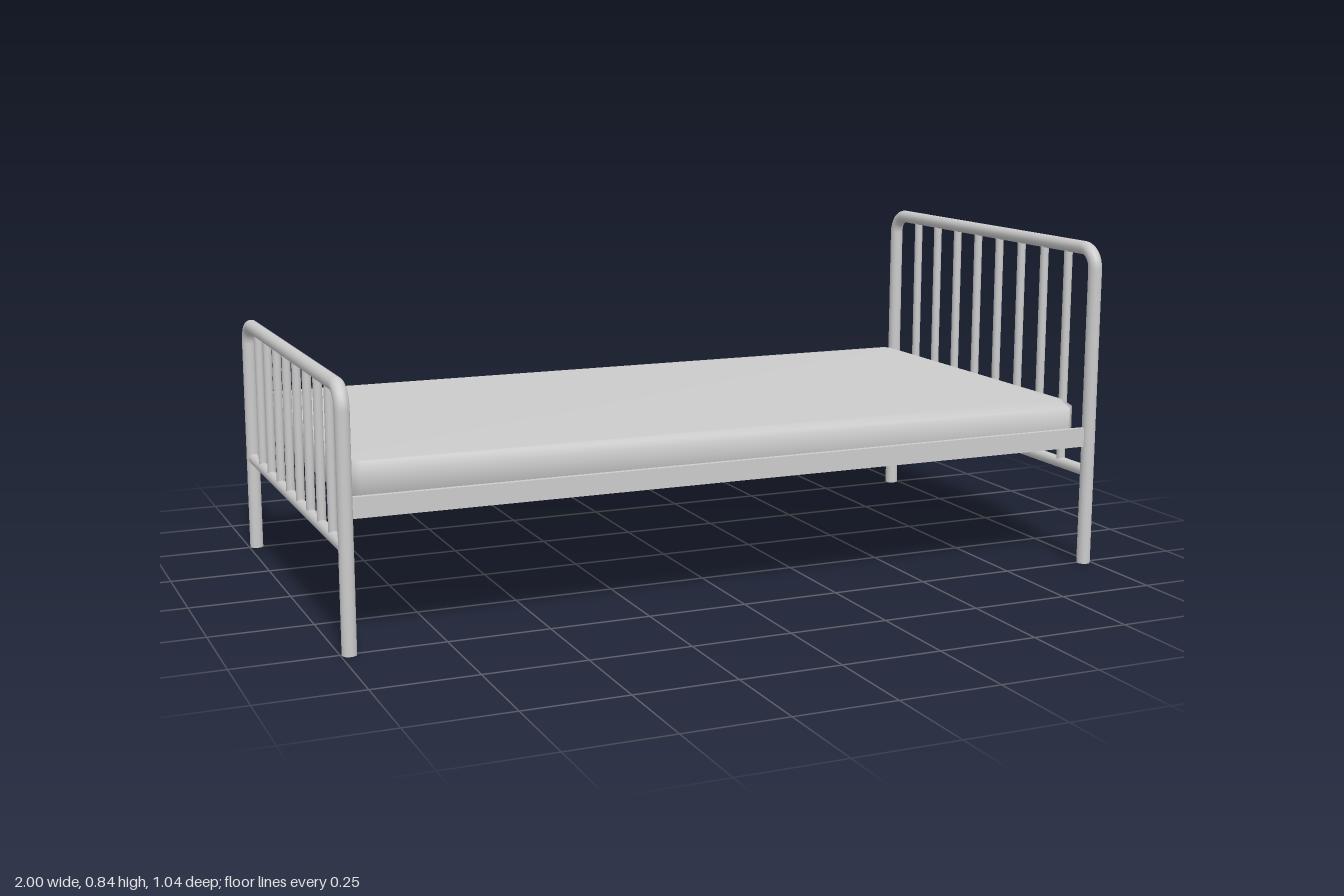
import * as THREE from 'three';
import { mergeVertices } from 'three/addons/utils/BufferGeometryUtils.js';

const material = new THREE.MeshStandardMaterial({ color: 0xcccccc });

function add(parent, name, geometry, x = 0, y = 0, z = 0) {
  const mesh = new THREE.Mesh(geometry, material);
  mesh.name = name;
  mesh.position.set(x, y, z);
  parent.add(mesh);
  return mesh;
}

// Tubular bed end, drawn across x and turned so that it spans z
function bedEnd(name, height) {
  const group = new THREE.Group();
  group.name = name;
  const r = 0.0175, halfWidth = 0.505, bend = 0.05, railY = 0.245;
  const topY = height - r;
  const legHeight = topY - bend;

  for (const side of [1, -1]) {
    add(group, 'leg', new THREE.CylinderGeometry(r, r, legHeight, 16), side * halfWidth, legHeight / 2);
    const corner = add(group, 'bentCorner', new THREE.TorusGeometry(bend, r, 16, 8, Math.PI / 2),
      side * (halfWidth - bend), legHeight);
    if (side < 0) corner.rotation.z = Math.PI / 2;
  }
  const top = add(group, 'topRail', new THREE.CylinderGeometry(r, r, 2 * (halfWidth - bend), 16), 0, topY);
  top.rotation.z = Math.PI / 2;
  const lower = add(group, 'lowerRail', new THREE.CylinderGeometry(0.0145, 0.0145, 2 * halfWidth, 16), 0, railY);
  lower.rotation.z = Math.PI / 2;

  // Upright bars between the rails
  for (let i = 0; i < 8; i++) {
    add(group, 'bar', new THREE.CylinderGeometry(0.011, 0.011, topY - railY, 12),
      0.386 - i * 0.1088, (topY + railY) / 2);
  }
  group.rotation.y = -Math.PI / 2;
  return group;
}

// Block with cut corners and one soft bevel, smooth shaded
function mattressGeometry(length, width, height) {
  const bevel = 0.026, rise = 0.018, cut = 0.014;
  const a = length / 2 - bevel, b = width / 2 - bevel;
  const outline = new THREE.Shape([
    [a - cut, -b], [a, -b + cut], [a, b - cut], [a - cut, b],
    [-a + cut, b], [-a, b - cut], [-a, -b + cut], [-a + cut, -b],
  ].map(([x, y]) => new THREE.Vector2(x, y)));
  let geometry = new THREE.ExtrudeGeometry(outline, {
    depth: height - 2 * rise, bevelEnabled: true, bevelSegments: 1,
    bevelSize: bevel, bevelThickness: rise,
  });
  geometry.translate(0, 0, rise).rotateX(-Math.PI / 2);
  geometry.deleteAttribute('normal');
  geometry.deleteAttribute('uv');
  geometry = mergeVertices(geometry, 1e-4);
  geometry.computeVertexNormals();
  return geometry;
}

export function createModel() {
  const bed = new THREE.Group();
  bed.name = 'bed';

  const head = bedEnd('headboard', 0.84);
  head.position.x = 0.98;
  const foot = bedEnd('footboard', 0.625);
  foot.position.x = -0.98;
  bed.add(head, foot);

  // Flat side rails
  for (const side of [1, -1]) {
    add(bed, 'sideRail', new THREE.BoxGeometry(1.95, 0.049, 0.013), 0, 0.3365, side * 0.503);
  }

  // Slats under the mattress
  for (let i = 0; i < 10; i++) {
    add(bed, 'slat', new THREE.BoxGeometry(0.04, 0.008, 1.0), -0.79 + i * 0.1756, 0.317);
  }

  add(bed, 'mattress', mattressGeometry(1.925, 0.98, 0.102), -0.005, 0.328);
  return bed;
}
